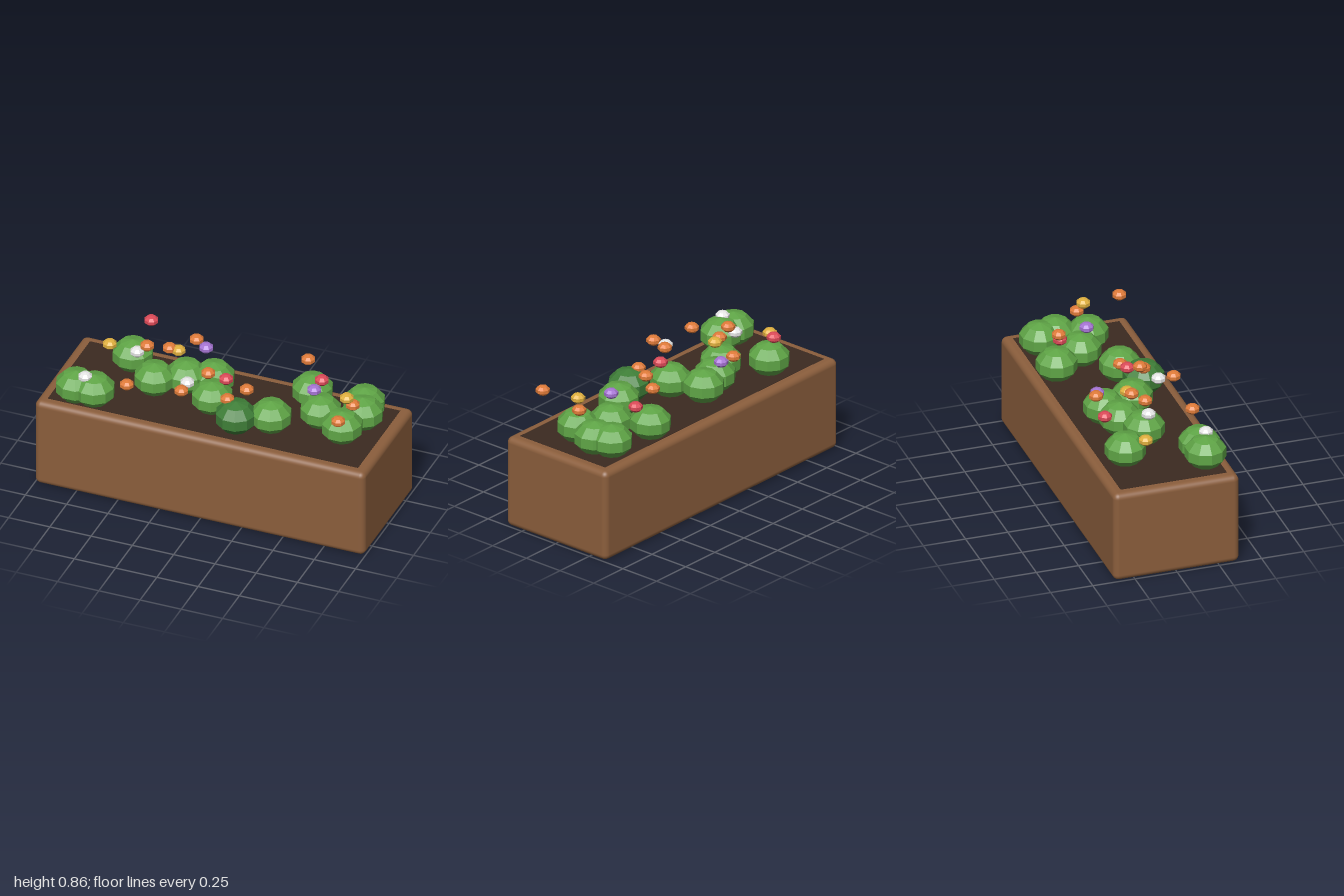
import * as THREE from 'three';
import { RoundedBoxGeometry } from 'three/addons/geometries/RoundedBoxGeometry.js';

function material(name, color, flatShading = true) {
  const m = new THREE.MeshStandardMaterial({ color, flatShading });
  m.name = name;
  return m;
}

export function createModel() {
  const group = new THREE.Group();
  group.name = 'flowerPlanter';

  const wood = material('wood brown', 0x8b5e3c, false);
  const soil = material('soil', 0x3b2a20);
  const leaf = material('leaf green', 0x5fa546);
  const darkLeaf = material('dark leaf green', 0x3f7f38);
  const orange = material('orange petal', 0xe07b39);
  const yellow = material('yellow petal', 0xe0b03e);
  const red = material('red petal', 0xdc4a58);
  const purple = material('purple petal', 0xa674d4);
  const white = material('white petal', 0xe8e8e8);

  const add = (name, geometry, mat, x, y, z) => {
    const mesh = new THREE.Mesh(geometry, mat);
    mesh.name = name;
    mesh.position.set(x, y, z);
    group.add(mesh);
  };

  // Rounded trough with a thin soil sheet flush with its top
  add('planterBox', new RoundedBoxGeometry(2, 0.55, 0.745, 4, 0.035), wood, 0, 0.275, 0);
  add('soil', new THREE.BoxGeometry(1.88, 0.004, 0.63), soil, 0, 0.549, 0);

  // Squat faceted bushes: x, z
  const bushGeometry = new THREE.SphereGeometry(0.123, 10, 5).scale(1, 0.8, 1);
  const bushes = [
    [-0.8, 0.235], [-0.69, 0.235], [-0.625, -0.18], [-0.42, 0], [-0.265, -0.09],
    [-0.115, -0.135], [-0.05, 0.055], [0.33, 0.11], [0.445, -0.225],
    [0.57, -0.04], [0.74, 0.06], [0.765, -0.215], [0.795, -0.115],
  ];
  for (const [x, z] of bushes) add('bush', bushGeometry, leaf, x, 0.627, z);
  add('darkBush', bushGeometry, darkLeaf, 0.15, 0.627, 0.19);

  // Blossoms floating over the bushes: x, y, z
  const blossomGeometry = new THREE.SphereGeometry(0.043, 8, 5).scale(1, 0.7, 1);
  const blossoms = [
    ['orangeBlossom', orange, [
      [-0.47, 0.825, -0.01], [-0.48, 0.73, 0.267], [-0.26, 0.785, -0.23],
      [-0.35, 0.815, -0.05], [-0.055, 0.81, 0.1], [-0.15, 0.77, 0.267],
      [0.09, 0.715, 0.17], [0.16, 0.725, 0.055], [0.42, 0.825, -0.22],
      [0.785, 0.75, 0.01], [0.8, 0.8, 0.267],
    ]],
    ['yellowBlossom', yellow, [[-0.73, 0.72, -0.095], [-0.3, 0.805, -0.06], [0.76, 0.807, 0.04]]],
    ['redBlossom', red, [[-0.553, 0.812, -0.277], [0.035, 0.765, 0.055], [0.52, 0.735, -0.18]]],
    ['purpleBlossom', purple, [[-0.19, 0.765, -0.2], [0.54, 0.775, -0.015]]],
    ['whiteBlossom', white, [[-0.735, 0.715, 0.26], [-0.53, 0.77, -0.01], [-0.15, 0.77, 0.177]]],
  ];
  for (const [name, mat, spots] of blossoms) {
    for (const [x, y, z] of spots) add(name, blossomGeometry, mat, x, y, z);
  }

  return group;
}
